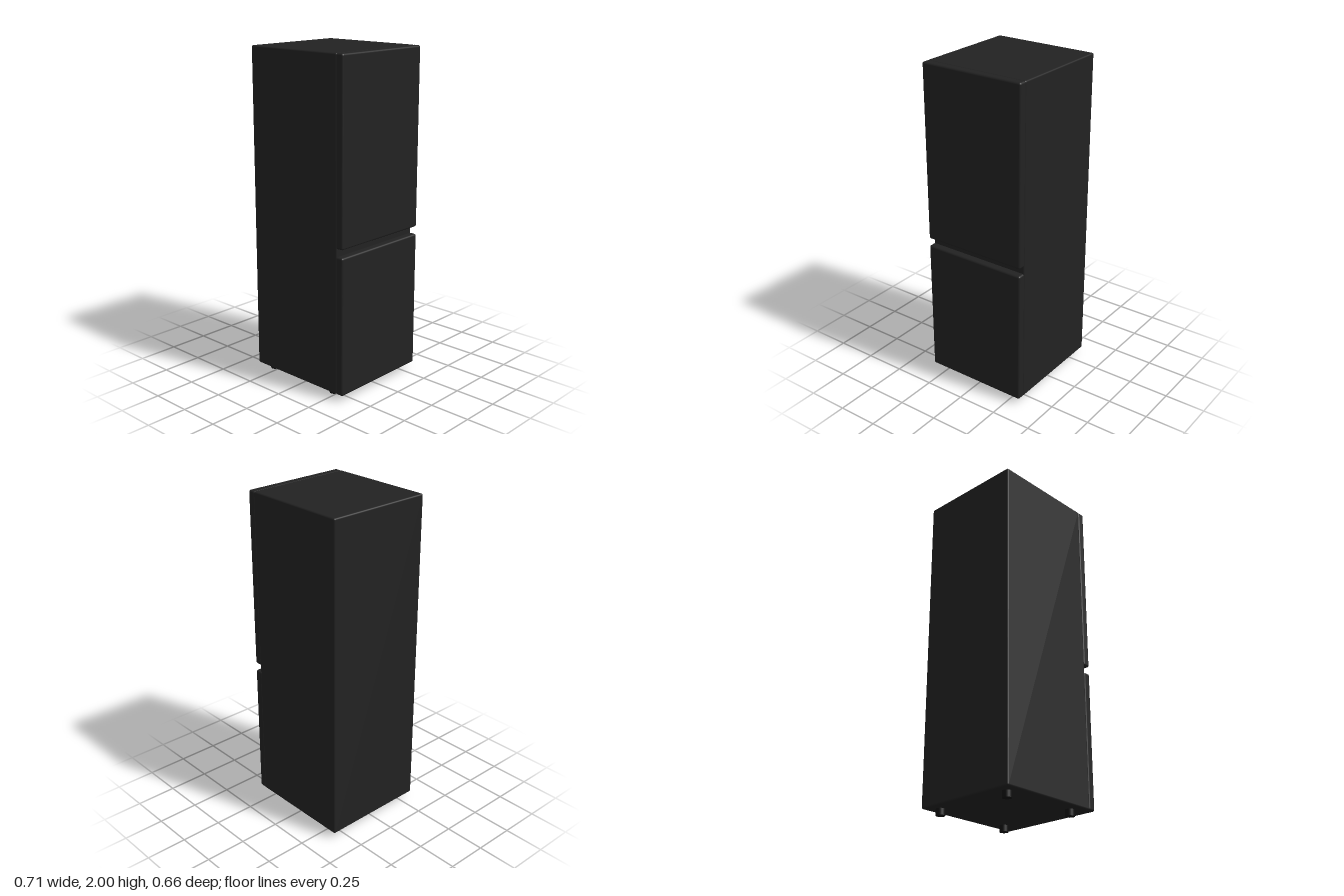
import * as THREE from 'three';
import { RoundedBoxGeometry } from 'three/addons/geometries/RoundedBoxGeometry.js';

const finish = new THREE.MeshStandardMaterial({ color: 0x222222 });
const rubber = new THREE.MeshStandardMaterial({ color: 0x111111 });

// Rounded box given by its x and y limits, spanning the full depth
function panel(name, x0, x1, y0, y1, radius) {
  const mesh = new THREE.Mesh(new RoundedBoxGeometry(x1 - x0, y1 - y0, 0.662, 4, radius), finish);
  mesh.position.set((x0 + x1) / 2, (y0 + y1) / 2, 0);
  mesh.name = name;
  return mesh;
}

export function createModel() {
  const fridge = new THREE.Group();
  fridge.name = 'refrigerator';

  // Cabinet, with the two doors on its +x side and a grip gap between them
  fridge.add(
    panel('cabinet', -0.354, 0.309, 0.038, 2, 0.01),
    panel('upperDoor', 0.302, 0.354, 0.922, 2, 0.012),
    panel('lowerDoor', 0.302, 0.354, 0.038, 0.876, 0.012)
  );

  // Four round feet
  const feet = new THREE.Group();
  feet.name = 'feet';
  const footGeometry = new THREE.CylinderGeometry(0.027, 0.027, 0.05, 24);
  for (const x of [-0.281, 0.223]) {
    for (const z of [-0.25, 0.257]) {
      const foot = new THREE.Mesh(footGeometry, rubber);
      foot.position.set(x, 0.025, z);
      foot.name = 'foot';
      feet.add(foot);
    }
  }
  fridge.add(feet);
  return fridge;
}
